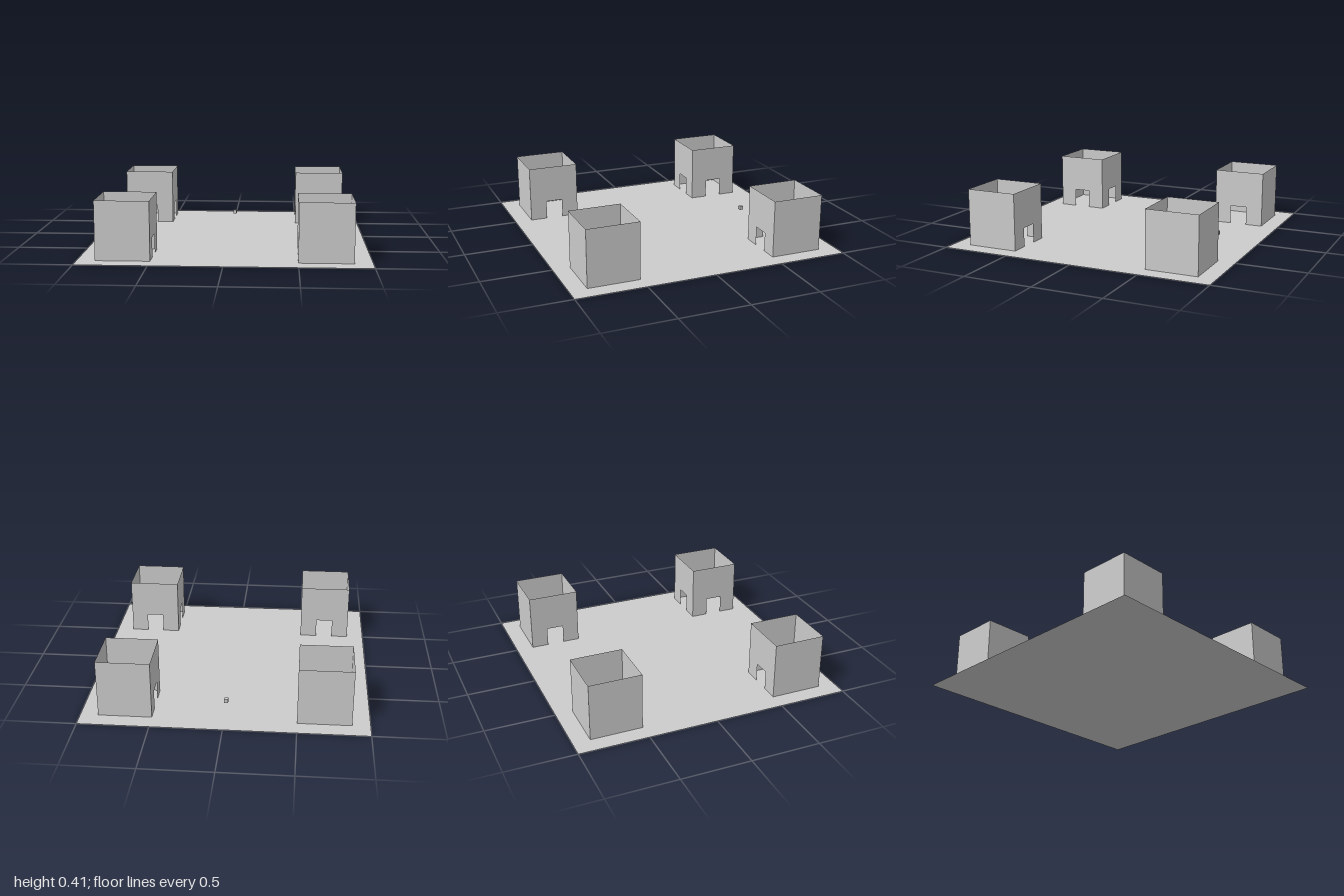
import * as THREE from 'three';

const INNER = 0.5, OUTER = 0.875, HEIGHT = 0.413;
const WIDTH = OUTER - INNER, DOOR_H = 0.138;

// Flat wall standing on y = 0, with or without a central doorway cut from its foot
function wallGeometry(hasDoor) {
  const w = WIDTH / 2, d = WIDTH / 6;
  const shape = new THREE.Shape();
  shape.moveTo(-w, 0);
  if (hasDoor) {
    shape.lineTo(-d, 0);
    shape.lineTo(-d, DOOR_H);
    shape.lineTo(d, DOOR_H);
    shape.lineTo(d, 0);
  }
  shape.lineTo(w, 0);
  shape.lineTo(w, HEIGHT);
  shape.lineTo(-w, HEIGHT);
  shape.closePath();
  return new THREE.ShapeGeometry(shape);
}

export function createModel() {
  const grey = new THREE.MeshStandardMaterial({ color: 0xcccccc, side: THREE.DoubleSide });
  grey.name = 'light grey';
  const model = new THREE.Group();
  model.name = 'courtyardWithTowers';

  // Ground sheet
  const ground = new THREE.Mesh(new THREE.PlaneGeometry(2, 2).rotateX(-Math.PI / 2), grey);
  ground.name = 'ground';
  model.add(ground);

  // Four open-topped towers; the two walls facing the middle have doorways
  const solid = wallGeometry(false), doorway = wallGeometry(true);
  const centre = (INNER + OUTER) / 2;
  for (const sx of [-1, 1]) {
    for (const sz of [-1, 1]) {
      const tower = new THREE.Group();
      tower.name = `${sz > 0 ? 'front' : 'back'}${sx > 0 ? 'Left' : 'Right'}Tower`;
      tower.position.set(sx * centre, 0, sz * centre);
      for (let i = 0; i < 4; i++) {
        const angle = i * Math.PI / 2;
        const nx = Math.round(Math.sin(angle)), nz = Math.round(Math.cos(angle));
        const inward = nx * sx + nz * sz < 0;
        const wall = new THREE.Mesh(inward ? doorway : solid, grey);
        wall.name = inward ? 'doorwayWall' : 'outerWall';
        wall.position.set(nx * WIDTH / 2, 0, nz * WIDTH / 2);
        wall.rotation.y = angle;
        tower.add(wall);
      }
      model.add(tower);
    }
  }

  // Small cube floating near the back edge
  const cube = new THREE.Mesh(new THREE.BoxGeometry(0.028, 0.028, 0.028), grey);
  cube.name = 'floatingCube';
  cube.position.set(0, 0.054, -0.695);
  model.add(cube);

  return model;
}
